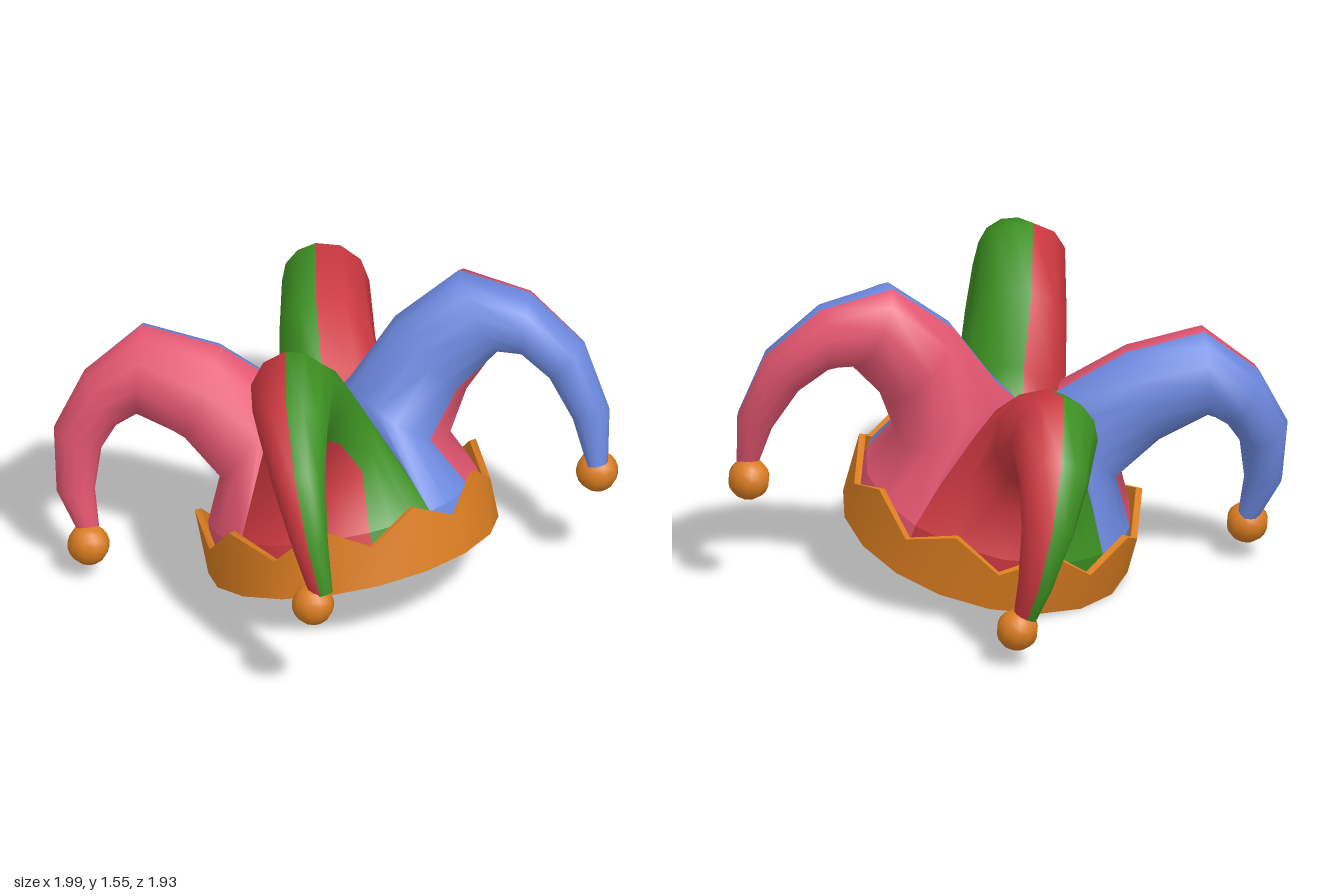
import * as THREE from 'three';
import { mergeGeometries } from 'three/addons/utils/BufferGeometryUtils.js';

const rad = THREE.MathUtils.degToRad;
const material = (name, color) =>
  Object.assign(new THREE.MeshStandardMaterial({ color, side: THREE.DoubleSide }), { name });

// Skin over equal-length closed rings; the two halves of each ring become groups 0 and 1.
function loft(rings, flip = false) {
  const n = rings[0].length, halves = [[], []];
  for (let i = 0; i < rings.length - 1; i++) {
    for (let j = 0; j < n; j++) {
      const k = (j + 1) % n;
      const a = i * n + j, b = i * n + k, c = b + n, d = a + n;
      halves[j < n / 2 ? 0 : 1].push(...(flip ? [a, c, b, a, d, c] : [a, b, c, a, c, d]));
    }
  }
  const g = new THREE.BufferGeometry();
  g.setAttribute('position', new THREE.Float32BufferAttribute(rings.flat(2), 3));
  g.setIndex([...halves[0], ...halves[1]]);
  g.addGroup(0, halves[0].length, 0);
  g.addGroup(halves[0].length, halves[1].length, 1);
  g.computeVertexNormals();
  return g;
}

// Zigzag band: 18 sides, nine points
function bandGeometry() {
  const ring = (r, top) => Array.from({ length: 18 }, (_, i) => {
    const a = rad(20 * i - 10);
    return [r * Math.sin(a), top ? (i % 2 ? 0.19 : 0.32) : 0, r * Math.cos(a)];
  });
  const loop = [ring(0.695, false), ring(0.695, true), ring(0.663, true), ring(0.663, false)];
  return mergeGeometries(loop.map((r, i) => loft([r, loop[(i + 1) % 4]])));
}

const CAP_RADIUS = 0.645, SHOULDER = 0.25, SPLIT = 29; // SPLIT: colour change, degrees from front or back
const AZIMUTH = rad(46);

// Horn sections: top point (distance out, height), under point, half width, angle of the lower colour seam
const SECTIONS = [
  [0.15, 0.82, 0.55, 0.45, 0.26, 132],
  [0.42, 1.08, 0.68, 0.67, 0.225, 140],
  [0.76, 1.25, 0.87, 0.83, 0.205, 160],
  [1.07, 1.08, 0.97, 0.79, 0.165, 175],
  [1.27, 0.81, 1.07, 0.67, 0.125, 180],
  [1.32, 0.48, 1.14, 0.46, 0.085, 180],
  [1.26, 0.24, 1.16, 0.24, 0.055, 180],
];

function hornGeometry(sx, sz) {
  // Opening of one quarter of the cap: seam, shoulder arc, seam
  const arc = [0, 1, 2, 3, 4, 5, 6].map((i) => {
    const a = rad(i < 3 ? (i / 3) * SPLIT : SPLIT + ((i - 3) / 3) * (90 - SPLIT));
    return [CAP_RADIUS * Math.sin(a), SHOULDER, CAP_RADIUS * Math.cos(a)];
  });
  const rings = [[
    [0, 0.72, 0], [0, 0.60, 0.3], [0, 0.44, 0.52],
    ...arc,
    [0.52, 0.44, 0], [0.3, 0.60, 0],
  ]];
  // Curved, tapering horn
  const s = Math.sin(AZIMUTH), c = Math.cos(AZIMUTH);
  SECTIONS.forEach(([td, ty, ud, uy, w, seam], i) => {
    const sag = -sz * 0.05 * Math.max(0, (i - 3) / 3);
    rings.push(Array.from({ length: 12 }, (_, j) => {
      const a = rad(j < 6 ? (j / 6) * seam : seam + ((j - 6) / 6) * (360 - seam));
      const k = Math.cos(a) / 2, side = w * Math.sin(a);
      const d = (td + ud) / 2 + k * (td - ud);
      const y = (ty + uy) / 2 + k * (ty - uy) + sag;
      return [d * s - side * c, y, d * c + side * s];
    }));
  });
  return loft(rings.map((r) => r.map(([x, y, z]) => [x * sx, y, z * sz])), sx * sz < 0);
}

export function createModel() {
  const orange = material('orange', 0xd97c20);
  const blue = material('blue', 0x6c88de);
  const rose = material('rose', 0xe45671);
  const green = material('green', 0x3d9022);
  const red = material('red', 0xcc3840);

  const model = new THREE.Group();
  model.name = 'jesterHat';
  // The whole hat leans back
  const hat = new THREE.Group();
  hat.name = 'tiltedHat';
  hat.position.set(0, 0.206, 0.145);
  hat.rotation.x = -0.303;
  model.add(hat);

  const add = (name, geometry, mat) => {
    const mesh = new THREE.Mesh(geometry, mat);
    mesh.name = name;
    hat.add(mesh);
    return mesh;
  };

  const band = bandGeometry();
  band.clearGroups();
  add('band', band, orange);

  // Upright cap wall inside the band, in coloured panels
  const edges = [0, SPLIT, 90, 180 - SPLIT, 180, 180 + SPLIT, 270, 360 - SPLIT, 360];
  const cycle = [blue, rose, red, green];
  for (let i = 0; i < 8; i++) {
    const wall = new THREE.CylinderGeometry(CAP_RADIUS, 0.668, SHOULDER - 0.01, 3, 1, true,
      rad(edges[i]), rad(edges[i + 1] - edges[i]));
    add('capPanel' + (i + 1), wall, cycle[i % 4]).position.y = SHOULDER / 2 + 0.005;
  }

  // Four horns with bells
  const bell = new THREE.SphereGeometry(0.1, 10, 10);
  for (const sz of [1, -1]) {
    for (const sx of [1, -1]) {
      const place = (sz > 0 ? 'front' : 'back') + (sx > 0 ? 'Left' : 'Right');
      add(place + 'Horn', hornGeometry(sx, sz), sx * sz > 0 ? [blue, rose] : [green, red]);
      add(place + 'Bell', bell, orange).position.set(sx * 0.895, 0.187 - sz * 0.047, sz * 0.813 - 0.02);
    }
  }
  return model;
}
